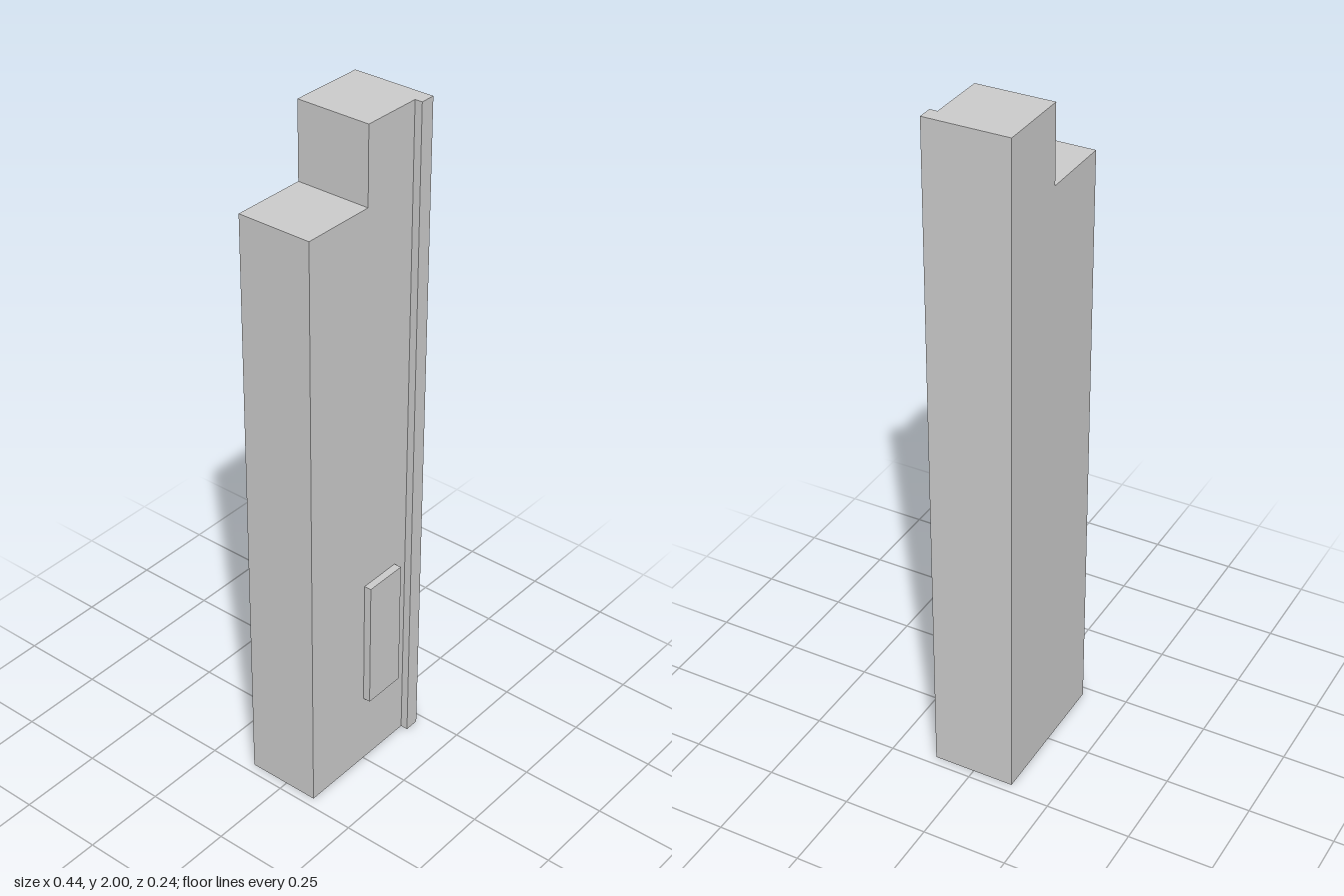
import * as THREE from 'three';

const BACK = -0.122, FACE = 0.1, FRONT = 0.122;
const HALF_W = 0.222, HEIGHT = 2, STEP_Y = 1.778;

export function createModel() {
  const model = new THREE.Group();
  model.name = 'steppedTower';
  const material = new THREE.MeshStandardMaterial({ color: 0xcccccc, flatShading: true });

  const add = (name, geometry) => {
    const mesh = new THREE.Mesh(geometry, material);
    mesh.name = name;
    model.add(mesh);
  };

  // Raised block standing on the front face, given by its x and y limits
  const addRaised = (name, x0, x1, y0, y1) => {
    const depth = FRONT - FACE;
    const geometry = new THREE.BoxGeometry(x1 - x0, y1 - y0, depth);
    geometry.translate((x0 + x1) / 2, (y0 + y1) / 2, FACE + depth / 2);
    add(name, geometry);
  };

  // Main slab, with the right half cut lower at the top
  const outline = new THREE.Shape([
    [-HALF_W, 0], [HALF_W, 0], [HALF_W, HEIGHT],
    [0, HEIGHT], [0, STEP_Y], [-HALF_W, STEP_Y],
  ].map(([x, y]) => new THREE.Vector2(x, y)));
  const body = new THREE.ExtrudeGeometry(outline, { depth: FACE - BACK, bevelEnabled: false });
  body.translate(0, 0, BACK);
  add('body', body);

  // Full-height rib along the left edge
  addRaised('edgeRib', 0.178, HALF_W, 0, HEIGHT);

  // Small raised panel low on the front
  addRaised('frontPanel', 0, 0.132, 0.223, 0.622);

  return model;
}
